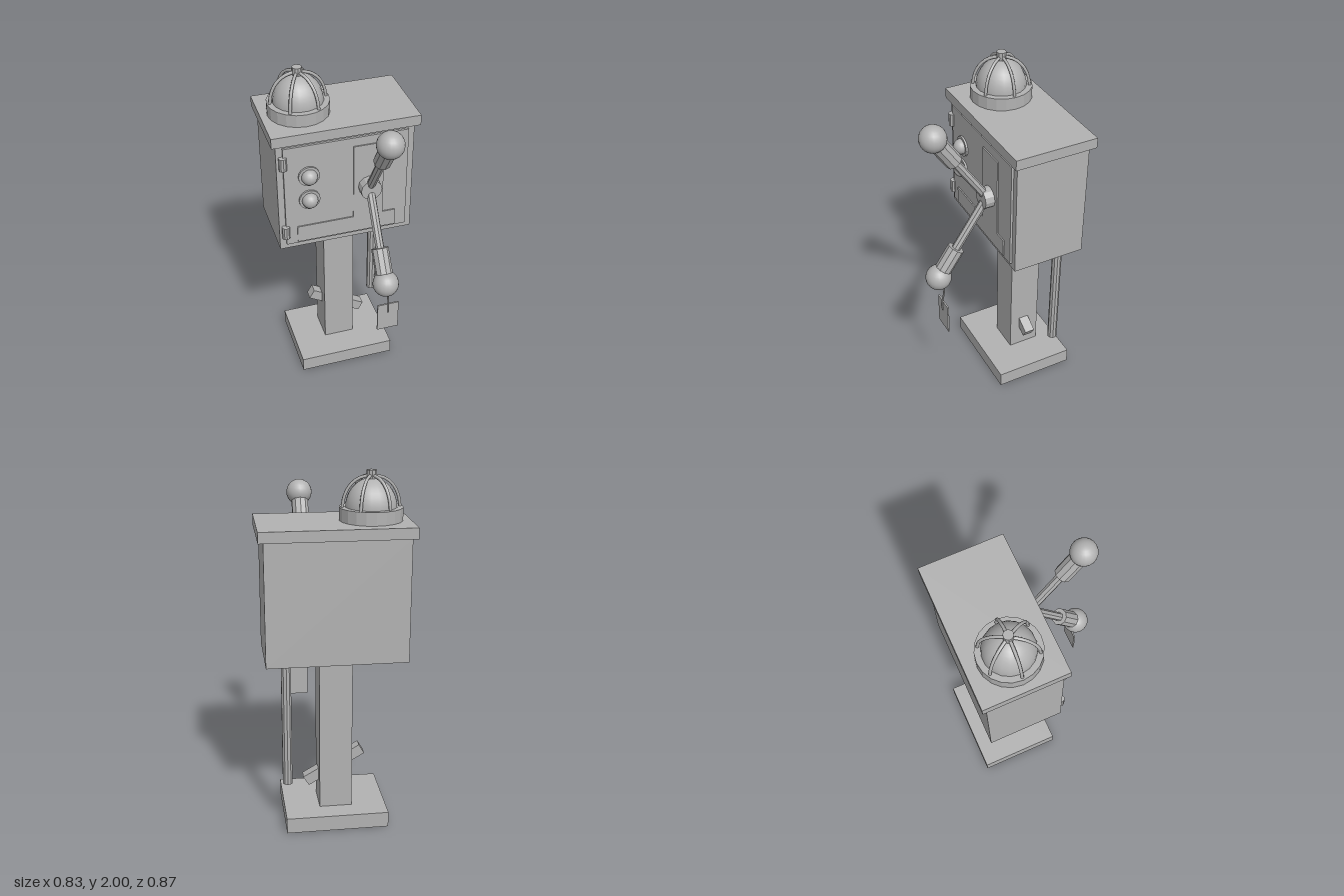
import * as THREE from 'three';

export function createModel() {
  const model = new THREE.Group();
  const grey = new THREE.MeshStandardMaterial({ color: 0xb2b2b2 });
  const V = (x, y, z) => new THREE.Vector3(x, y, z);

  function add(name, geometry, x = 0, y = 0, z = 0, parent = model) {
    const mesh = new THREE.Mesh(geometry, grey);
    mesh.name = name;
    mesh.position.set(x, y, z);
    parent.add(mesh);
    return mesh;
  }

  // Box given by its low and high limits on each axis
  function block(name, [x0, x1], [y0, y1], [z0, z1]) {
    return add(name, new THREE.BoxGeometry(x1 - x0, y1 - y0, z1 - z0),
      (x0 + x1) / 2, (y0 + y1) / 2, (z0 + z1) / 2);
  }

  // Faceted upright cylinder
  function prism(radius, height, sides) {
    const g = new THREE.CylinderGeometry(radius, radius, height, sides).toNonIndexed();
    g.computeVertexNormals();
    return g;
  }

  // Faceted cylinder between two points
  function rod(name, a, b, radius, sides) {
    const mesh = add(name, prism(radius, a.distanceTo(b), sides));
    mesh.position.lerpVectors(a, b, 0.5);
    mesh.quaternion.setFromUnitVectors(V(0, 1, 0), b.clone().sub(a).normalize());
    return mesh;
  }

  function tube(name, points, radius, steps, parent = model) {
    return add(name, new THREE.TubeGeometry(new THREE.CatmullRomCurve3(points), steps, radius, 6), 0, 0, 0, parent);
  }

  // Stand, cabinet and roof
  block('base', [-0.29, 0.29], [0, 0.09], [-0.433, 0.042]);
  block('post', [-0.095, 0.09], [0.09, 0.99], [-0.315, -0.13]);
  block('cabinet', [-0.39, 0.387], [0.99, 1.675], [-0.408, 0.018]);
  block('roof', [-0.415, 0.415], [1.675, 1.735], [-0.435, 0.041]);

  // Slanted step bar through the post
  const bar = add('stepBar', new THREE.BoxGeometry(0.371, 0.062, 0.06), 0, 0.317, -0.219);
  bar.rotation.z = -0.521;

  // Conduit under the cabinet
  rod('conduit', V(0.274, 0.26, -0.32), V(0.274, 1, -0.32), 0.028, 10);

  // Door with a raised plate in the form of an inverted T
  block('door', [-0.354, 0.351], [1.024, 1.655], [0.01, 0.031]);
  const outline = [[-0.29, 1.035], [0.285, 1.035], [0.285, 1.138], [0.209, 1.138],
    [0.209, 1.603], [0.037, 1.603], [0.037, 1.138], [-0.29, 1.138]];
  const plate = new THREE.Shape(outline.map(([x, y]) => new THREE.Vector2(x, y)));
  add('doorPlate', new THREE.ExtrudeGeometry(plate, { depth: 0.008, bevelEnabled: false }), 0, 0, 0.03);

  for (const y of [1.565, 1.111]) add('hinge', prism(0.022, 0.076, 10), -0.356, y, 0.03);

  // Pair of indicator lamps
  for (const y of [1.465, 1.312]) {
    rod('lampRing', V(-0.216, y, 0.025), V(-0.216, y, 0.042), 0.06, 16);
    add('lamp', new THREE.SphereGeometry(0.045, 16, 12), -0.216, y, 0.046);
  }

  // Hub with two mirrored arms, each with a grip and a ball
  rod('hub', V(0.124, 1.338, 0.028), V(0.124, 1.338, 0.092), 0.061, 12);
  for (const side of [1, -1]) {
    const point = t => V(0.124, 1.338 + side * 0.455 * t, 0.055 + 0.305 * t);
    rod('armRod', point(0.06), point(0.7), 0.025, 8);
    rod('armGrip', point(0.63), point(1), 0.049, 10);
    add('armBall', new THREE.SphereGeometry(0.074, 20, 14)).position.copy(point(1));
  }

  // Tag hanging on a string from the lower ball
  tube('tagString', [V(0.145, 0.84, 0.335), V(0.147, 0.77, 0.341), V(0.147, 0.715, 0.353),
    V(0.147, 0.68, 0.356), V(0.15, 0.65, 0.35)], 0.005, 12);
  block('tag', [0.085, 0.211], [0.528, 0.713], [0.341, 0.35]);

  // Beacon: collar, dome and a six-wire cage meeting at a cap
  const beacon = new THREE.Group();
  beacon.name = 'beacon';
  beacon.position.set(-0.204, 0, -0.198);
  model.add(beacon);
  add('beaconCollar', prism(0.172, 0.072, 20), 0, 1.77, 0, beacon);
  const dome = add('beaconDome', new THREE.SphereGeometry(0.14, 18, 10, 0, Math.PI * 2, 0, Math.PI / 2), 0, 1.8, 0, beacon);
  dome.scale.y = 1.12;
  for (let i = 0; i < 6; i++) {
    const wire = tube('cageWire', [V(0.156, 1.8, 0), V(0.146, 1.86, 0), V(0.119, 1.915, 0),
      V(0.073, 1.955, 0), V(0.015, 1.972, 0)], 0.009, 10, beacon);
    wire.rotation.y = i * Math.PI / 3;
  }
  add('cageCap', prism(0.027, 0.045, 10), 0, 1.9775, 0, beacon);

  return model;
}
